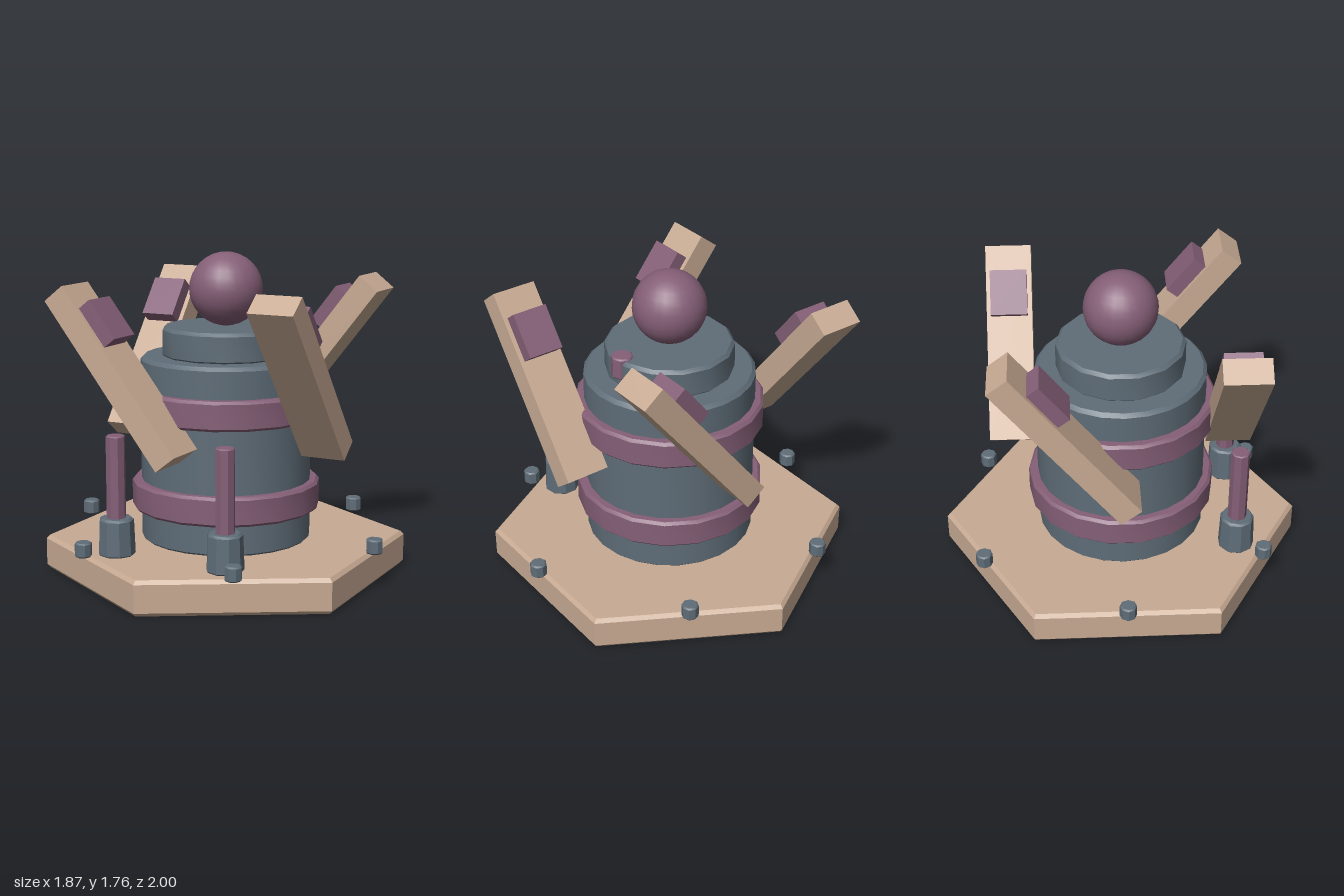
import * as THREE from 'three';
import { toCreasedNormals } from 'three/addons/utils/BufferGeometryUtils.js';

const material = (name, color) => {
  const m = new THREE.MeshStandardMaterial({ color });
  m.name = name;
  return m;
};

export function createModel() {
  const tan = material('tan', 0xc8ab94);
  const steel = material('slate', 0x5f6d78);
  const plum = material('plum', 0x855f77);
  const model = new THREE.Group();

  const add = (parent, name, geometry, mat, x = 0, y = 0, z = 0) => {
    const mesh = new THREE.Mesh(geometry, mat);
    mesh.name = name;
    mesh.position.set(x, y, z);
    parent.add(mesh);
    return mesh;
  };

  // Upright solid with chamfered rims, from height y0 to y1
  const drum = (r, y0, y1, sides, bevel, topR = r) => {
    const profile = [
      [0, y0], [r - bevel, y0], [r, y0 + bevel],
      [topR, y1 - bevel], [topR - bevel, y1], [0, y1],
    ].map(([x, y]) => new THREE.Vector2(x, y));
    return toCreasedNormals(new THREE.LatheGeometry(profile, sides), 0.6);
  };

  // Hexagonal base, corners towards front and back
  add(model, 'base', drum(1, 0, 0.19, 6, 0.02), tan);

  // Main body, cap and ball
  add(model, 'body', drum(0.467, 0.18, 1.2, 24, 0.02), steel);
  add(model, 'cap', drum(0.35, 1.19, 1.36, 14, 0.018), steel);
  add(model, 'ball', new THREE.SphereGeometry(0.2, 24, 16), plum, 0, 1.56, 0);
  add(model, 'capPlug', drum(0.06, 1.25, 1.372, 8, 0.008), plum, 0.31, 0, 0);

  // Bands around the body
  for (const y of [0.36, 0.87]) {
    add(model, 'band', drum(0.518, y, y + 0.16, 18, 0.015), plum);
  }

  // Bolts around the rim of the base
  for (let i = 0; i < 6; i++) {
    const a = (i * Math.PI) / 3;
    add(model, 'bolt', drum(0.046, 0.195, 0.275, 8, 0.008), steel,
      0.89 * Math.cos(a), 0, 0.89 * Math.sin(a));
  }

  // Two front posts in sockets
  for (const side of [-1, 1]) {
    const post = new THREE.Group();
    post.name = 'post';
    post.position.set(side * 0.325, 0, 0.63);
    add(post, 'socket', drum(0.1, 0.185, 0.392, 9, 0.012, 0.093), steel);
    add(post, 'rod', drum(0.052, 0.38, 0.835, 8, 0.006), plum);
    model.add(post);
  }

  // Four leaning arms, each with a block on its upper face
  for (let i = 0; i < 4; i++) {
    const pivot = new THREE.Group();
    pivot.name = 'armPivot';
    pivot.rotation.y = (i * Math.PI) / 2;
    const arm = new THREE.Group();
    arm.name = 'arm';
    arm.position.set(-0.305, 1.15, 0.597);
    arm.rotation.z = 0.663;
    add(arm, 'beam', new THREE.BoxGeometry(0.136, 1.07, 0.25), tan);
    add(arm, 'beamBlock', new THREE.BoxGeometry(0.125, 0.245, 0.2), plum, 0.083, 0.268, 0);
    pivot.add(arm);
    model.add(pivot);
  }

  return model;
}
